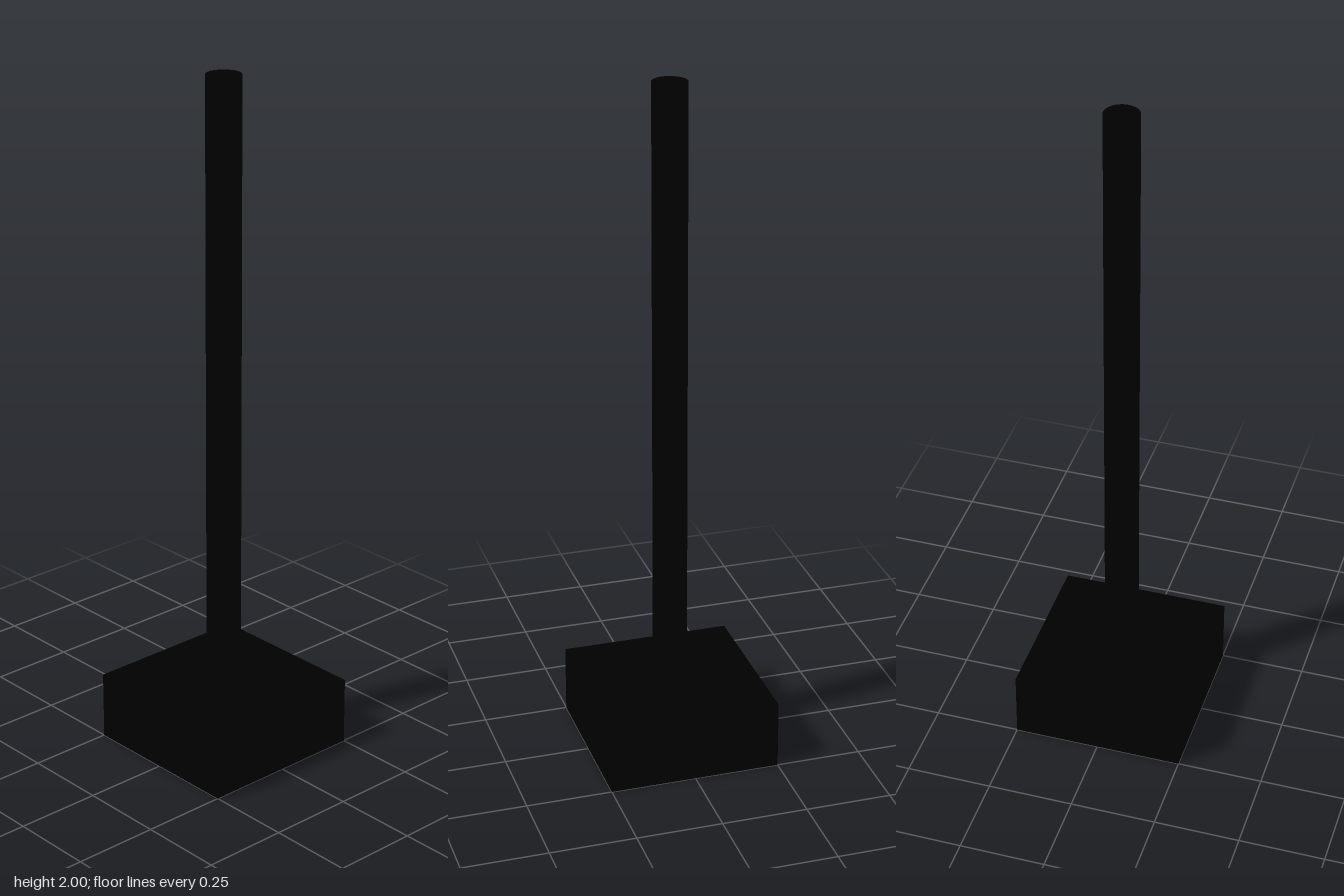
import * as THREE from 'three';

export function createModel() {
  const group = new THREE.Group();
  const black = new THREE.MeshStandardMaterial({ color: 0x000000 });

  const addPart = (name, geometry, y) => {
    const mesh = new THREE.Mesh(geometry, black);
    mesh.name = name;
    mesh.position.y = y;
    group.add(mesh);
  };

  // Square foot block
  addPart('base', new THREE.BoxGeometry(0.5, 0.2, 0.5), 0.1);

  // Round upright standing on the block
  addPart('pole', new THREE.CylinderGeometry(0.05, 0.05, 1.8, 32), 1.1);

  return group;
}
